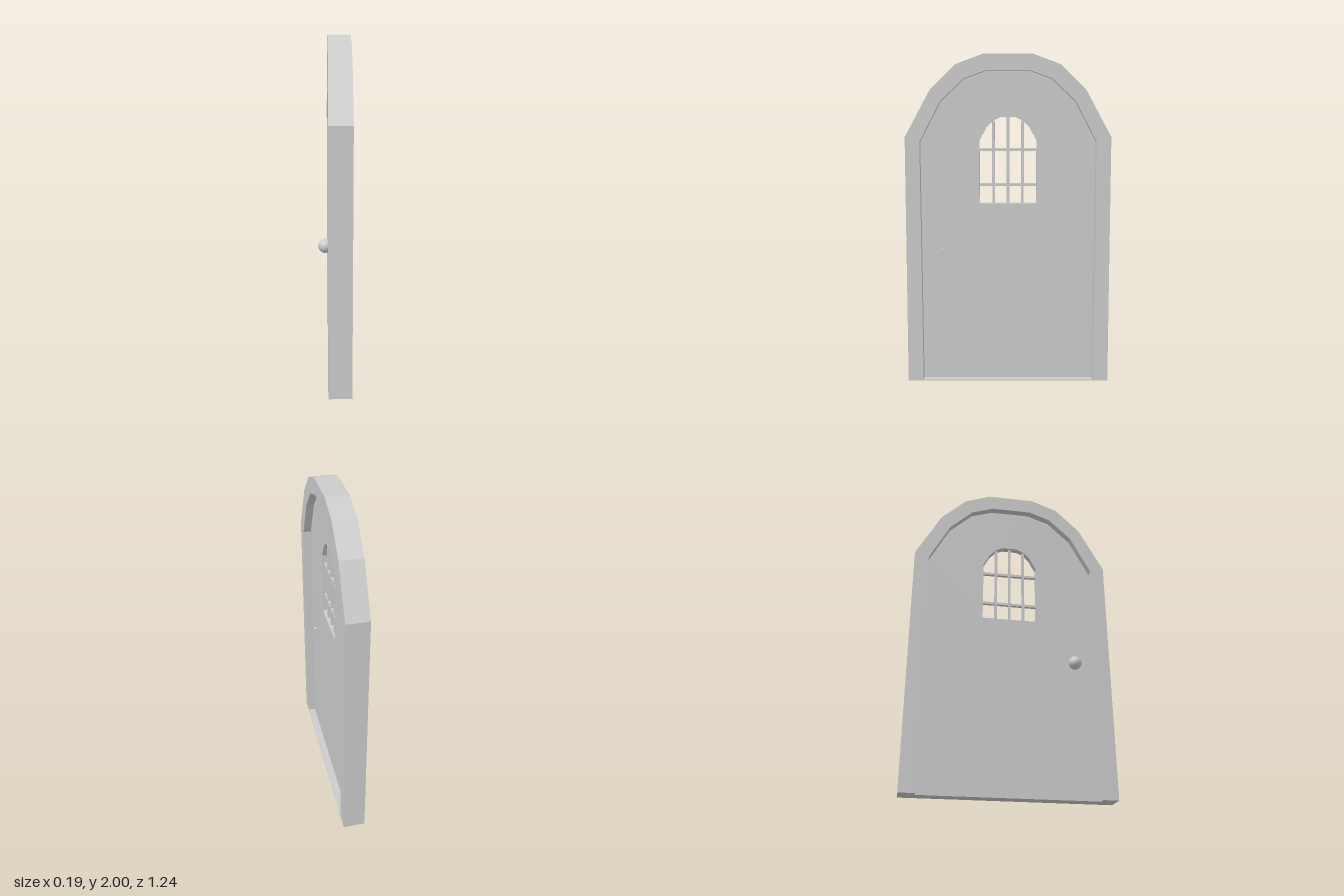
import * as THREE from 'three';

const mat = new THREE.MeshStandardMaterial({ color: 0xcccccc, flatShading: true });
const smooth = new THREE.MeshStandardMaterial({ color: 0xcccccc });

// Half arch profiles as [half width, height], from the foot to the crown
const OUTER = [[0.622, 0], [0.615, 1.515], [0.46, 1.795], [0.308, 1.94], [0.145, 2]];
const INNER = [[0.528, 0], [0.528, 1.488], [0.4, 1.727], [0.26, 1.858], [0.125, 1.905]];
const WINDOW = [[0.172, 1.112], [0.172, 1.495], [0.132, 1.57], [0.09, 1.613], [0.047, 1.632]];

// Mirror a half profile into a closed outline
function outline(half) {
  const right = half.map(([w, y]) => new THREE.Vector2(w, y));
  const left = half.map(([w, y]) => new THREE.Vector2(-w, y)).reverse();
  return [...right, ...left];
}

// Extrude a shape through the door's thickness, from x0 to x1
function slab(name, shape, x0, x1) {
  const geo = new THREE.ExtrudeGeometry(shape, { depth: x1 - x0, bevelEnabled: false });
  geo.rotateY(Math.PI / 2).translate(x0, 0, 0);
  const mesh = new THREE.Mesh(geo, mat);
  mesh.name = name;
  return mesh;
}

function box(name, size, pos) {
  const mesh = new THREE.Mesh(new THREE.BoxGeometry(...size), mat);
  mesh.position.set(...pos);
  mesh.name = name;
  return mesh;
}

export function createModel() {
  const group = new THREE.Group();
  group.name = 'archedDoor';

  // Surrounding frame, open at the foot
  const frame = new THREE.Shape([...outline(OUTER), ...outline(INNER).reverse()]);
  group.add(slab('frame', frame, -0.042, 0.092));

  // Door leaf with arched window, recessed on both sides
  const leaf = new THREE.Shape(outline(INNER));
  leaf.holes.push(new THREE.Path(outline(WINDOW).reverse()));
  group.add(slab('doorLeaf', leaf, 0.004, 0.045));

  // Thin threshold on one side of the leaf
  group.add(box('threshold', [0.047, 0.006, 1.056], [0.0685, 0.003, 0]));

  // Window grille
  const grille = new THREE.Group();
  grille.name = 'windowGrille';
  for (const z of [-0.088, 0, 0.088]) {
    const top = z === 0 ? 1.632 : 1.614;
    grille.add(box('verticalBar', [0.016, top - 1.112, 0.016], [0.0245, (top + 1.112) / 2, z]));
  }
  for (const y of [1.225, 1.438]) {
    grille.add(box('horizontalBar', [0.018, 0.016, 0.344], [0.0245, y, 0]));
  }
  group.add(grille);

  // Round knob and its spindle through the leaf
  const knob = new THREE.Mesh(new THREE.SphereGeometry(0.04, 32, 20), smooth);
  knob.name = 'knob';
  knob.position.set(-0.057, 0.822, 0.393);
  group.add(knob);
  group.add(box('spindle', [0.115, 0.015, 0.028], [0.0025, 0.824, 0.398]));

  return group;
}
